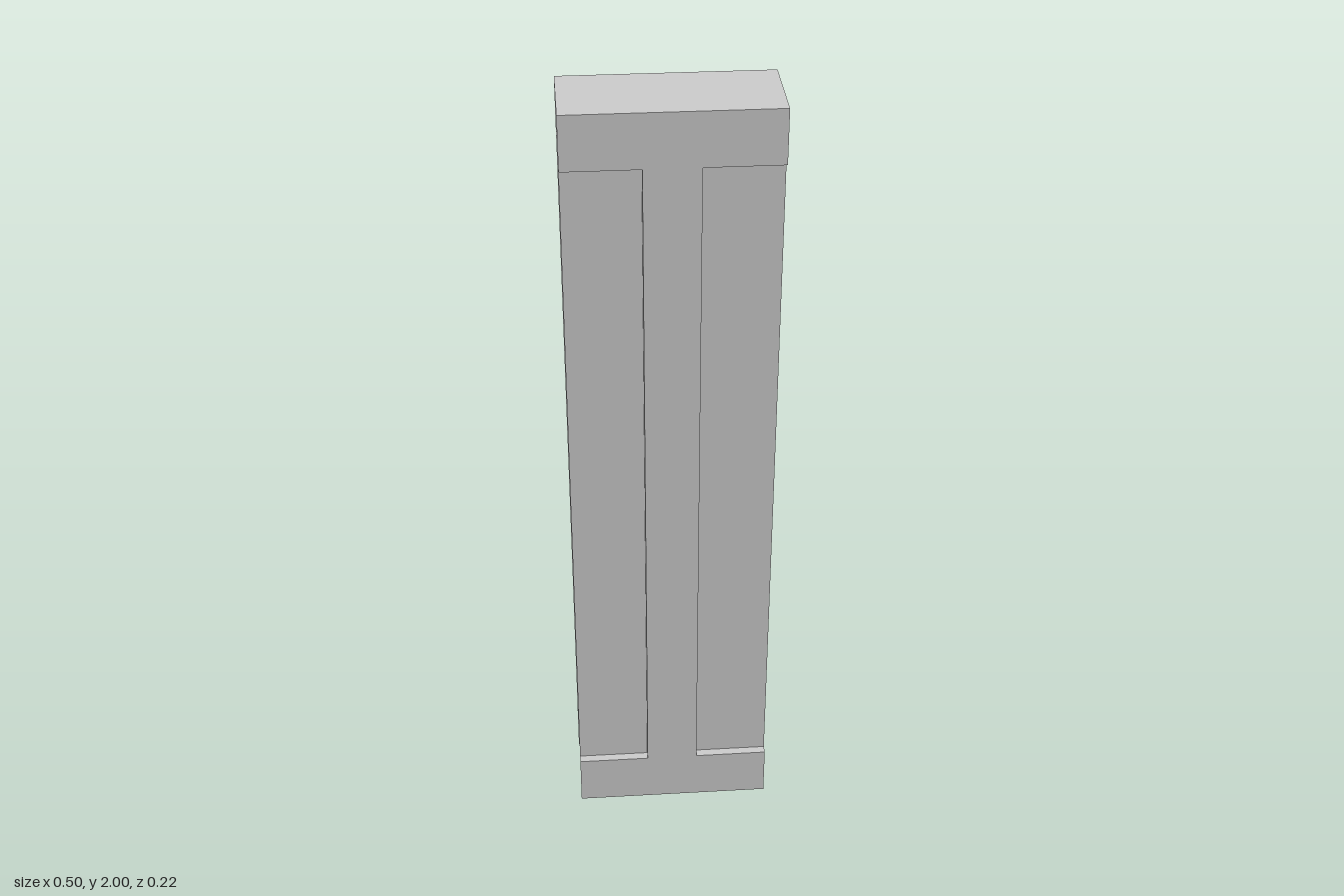
import * as THREE from 'three';

const W = 0.25, H = 2;              // half width, height
const OUT = 0.109, IN = 0.087;      // outer face and recessed panel depth
const Y0 = 0.137, Y1 = 1.868;       // recess bottom and top
const XL = -0.068, XR = 0.064;      // centre stile edges

const material = new THREE.MeshStandardMaterial({
  color: 0xcccccc, flatShading: true, side: THREE.DoubleSide,
});

// Flat rectangle of size w x h, turned and placed
function sheet(name, w, h, position, rotation = [0, 0, 0]) {
  const mesh = new THREE.Mesh(new THREE.PlaneGeometry(w, h), material);
  mesh.name = name;
  mesh.position.set(...position);
  mesh.rotation.set(...rotation);
  return mesh;
}

// One broad face: I-shaped frame with a recessed panel either side of the stile
function createFace(name) {
  const face = new THREE.Group();
  face.name = name;

  const outline = [
    [-W, 0], [W, 0], [W, Y0], [XR, Y0], [XR, Y1], [W, Y1],
    [W, H], [-W, H], [-W, Y1], [XL, Y1], [XL, Y0], [-W, Y0],
  ].map(([x, y]) => new THREE.Vector2(x, y));
  const frame = new THREE.Mesh(new THREE.ShapeGeometry(new THREE.Shape(outline)), material);
  frame.name = 'frame';
  frame.position.z = OUT;
  face.add(frame);

  const depth = OUT - IN, midZ = (OUT + IN) / 2;
  const midY = (Y0 + Y1) / 2, tall = Y1 - Y0;
  for (const [side, inner, outer] of [['left', XR, W], ['right', XL, -W]]) {
    const w = Math.abs(outer - inner), x = (inner + outer) / 2;
    const s = Math.sign(outer);
    face.add(
      sheet(side + 'Panel', w, tall, [x, midY, IN]),
      sheet(side + 'StileEdge', depth, tall, [inner, midY, midZ], [0, s * Math.PI / 2, 0]),
      sheet(side + 'LowerLedge', w, depth, [x, Y0, midZ], [-Math.PI / 2, 0, 0]),
      sheet(side + 'UpperLedge', w, depth, [x, Y1, midZ], [Math.PI / 2, 0, 0]),
    );
  }
  return face;
}

export function createModel() {
  const model = new THREE.Group();
  model.name = 'panelledColumn';

  // Front face and its mirror image at the back
  const back = createFace('backFace');
  back.scale.z = -1;
  model.add(createFace('frontFace'), back);

  // Closed top; the ends and the bottom stay open
  model.add(sheet('topCap', 2 * W, 2 * OUT, [0, H, 0], [-Math.PI / 2, 0, 0]));
  return model;
}
